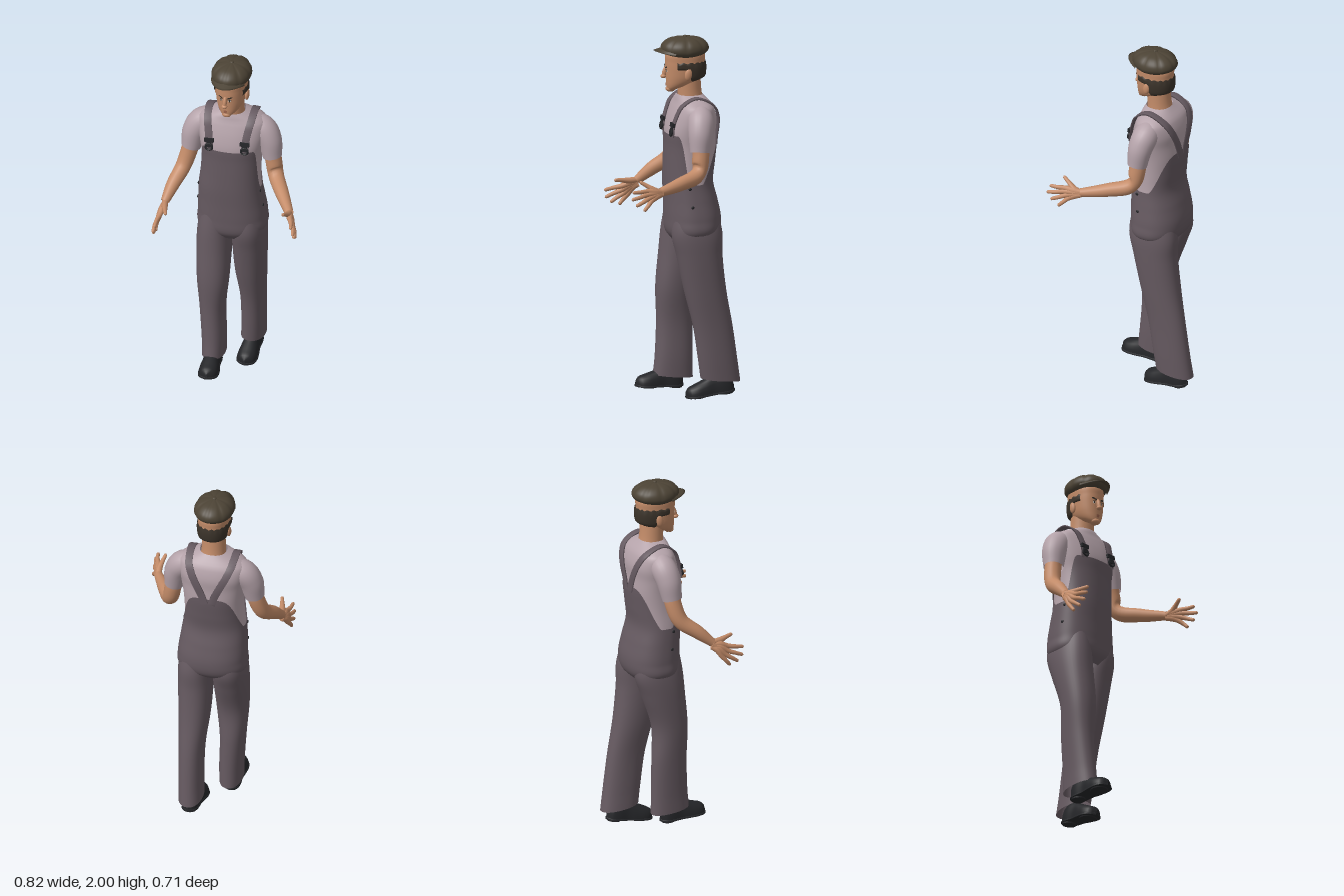
import * as THREE from 'three';

const mat = (name, color, side = THREE.DoubleSide) => {
  const m = new THREE.MeshStandardMaterial({ color, side });
  m.name = name;
  return m;
};
const V = (x, y, z) => new THREE.Vector3(x, y, z);
const TAU = Math.PI * 2;
const smooth = THREE.MathUtils.smoothstep;

// Smooth interpolation of rows [key, a, b, ...] sorted by key
function sample(rows, k) {
  const n = rows.length - 1;
  k = Math.min(Math.max(k, rows[0][0]), rows[n][0]);
  let i = 0;
  while (i < n - 1 && k > rows[i + 1][0]) i++;
  const p = rows[i], q = rows[i + 1], h = q[0] - p[0], t = (k - p[0]) / h;
  const o = rows[Math.max(i - 1, 0)], r = rows[Math.min(i + 2, n)];
  return p.slice(1).map((pv, j) => {
    const c = j + 1, m0 = (q[c] - o[c]) / (q[0] - o[0]), m1 = (r[c] - p[c]) / (r[0] - p[0]);
    const t2 = t * t, t3 = t2 * t;
    return (2 * t3 - 3 * t2 + 1) * pv + (t3 - 2 * t2 + t) * h * m0 + (3 * t2 - 2 * t3) * q[c] + (t3 - t2) * h * m1;
  });
}

// Grid surface from fn(u, v); u may wrap around
function sheet(fn, nu, nv, wrap = true) {
  const pos = [], idx = [], cols = wrap ? nu : nu + 1;
  for (let j = 0; j <= nv; j++)
    for (let i = 0; i < cols; i++) pos.push(...fn(i / nu, j / nv).toArray());
  for (let j = 0; j < nv; j++)
    for (let i = 0; i < nu; i++) {
      const a = j * cols + i, b = j * cols + (i + 1) % cols;
      idx.push(a, b, b + cols, a, b + cols, a + cols);
    }
  const g = new THREE.BufferGeometry();
  g.setAttribute('position', new THREE.Float32BufferAttribute(pos, 3));
  g.setIndex(idx);
  g.computeVertexNormals();
  return g;
}

// Tapered tube through rows [x, y, z, radius]
function limb(rows, nu = 16, nv = 20) {
  const curve = new THREE.CatmullRomCurve3(rows.map(r => V(r[0], r[1], r[2])));
  const f = curve.computeFrenetFrames(nv), radii = rows.map((r, i) => [i / (rows.length - 1), r[3]]);
  return sheet((u, v) => {
    const i = Math.round(v * nv), r = sample(radii, v);
    return curve.getPoint(v).addScaledVector(f.normals[i], r * Math.cos(u * TAU)).addScaledVector(f.binormals[i], r * Math.sin(u * TAU));
  }, nu, nv);
}

const spow = (s, n) => Math.sign(s) * Math.abs(s) ** (2 / n);
// Ring point; angle 0 is the front, increasing towards +x
const ring = ([cx, cz, rx, rz], y, a, off = 0, n = 2.3) =>
  V(cx + (rx + off) * spow(Math.sin(a), n), y, cz + (rz + off) * spow(Math.cos(a), n));

// Body rows: height, centre x, centre z, half width, half depth
const TORSO = [
  [0.87, -0.036, -0.1, 0.1, 0.09], [0.92, -0.036, -0.107, 0.178, 0.132], [1.0, -0.036, -0.11, 0.183, 0.142],
  [1.1, -0.04, -0.1, 0.175, 0.134], [1.2, -0.043, -0.087, 0.166, 0.124], [1.3, -0.04, -0.092, 0.162, 0.128],
  [1.4, -0.038, -0.098, 0.166, 0.132], [1.48, -0.037, -0.098, 0.178, 0.132], [1.55, -0.037, -0.107, 0.19, 0.126],
  [1.615, -0.037, -0.11, 0.187, 0.106], [1.64, -0.037, -0.107, 0.155, 0.092], [1.66, -0.037, -0.1, 0.112, 0.08],
  [1.678, -0.036, -0.096, 0.074, 0.068]];
const RIGHT_LEG = [
  [0.1, -0.12, -0.025, 0.063, 0.111], [0.2, -0.121, -0.03, 0.065, 0.105], [0.4, -0.13, -0.036, 0.07, 0.1],
  [0.6, -0.128, -0.033, 0.088, 0.1], [0.8, -0.13, -0.075, 0.096, 0.124], [0.92, -0.128, -0.1, 0.094, 0.138],
  [1.04, -0.12, -0.1, 0.08, 0.12]];
const LEFT_LEG = [
  [0.1, 0.05, -0.245, 0.066, 0.11], [0.2, 0.055, -0.23, 0.066, 0.109], [0.4, 0.058, -0.2, 0.069, 0.109],
  [0.6, 0.054, -0.158, 0.085, 0.116], [0.8, 0.055, -0.125, 0.094, 0.127], [0.92, 0.055, -0.112, 0.094, 0.14],
  [1.04, 0.048, -0.105, 0.08, 0.12]];
// Head rows: height, centre x, centre z, half width, half depth (head's own frame)
const HEAD = [
  [1.69, 0, 0.045, 0.012, 0.025], [1.7, 0, 0.025, 0.04, 0.07], [1.72, 0, 0.012, 0.06, 0.09], [1.76, 0, 0.003, 0.074, 0.102],
  [1.81, 0, 0, 0.081, 0.107], [1.86, 0, 0.001, 0.083, 0.108], [1.91, 0, 0, 0.082, 0.105], [1.96, 0, 0, 0.05, 0.06]];

const torsoAt = (y, a, off = 0) => ring(sample(TORSO, y), y, a, off);
const headAt = (y, a, off = 0) => {
  const p = ring(sample(HEAD, y), y, a, off, 2.2);
  p.y += 0.045 * (1 - smooth(y, 1.7, 1.8)) * (1 - Math.cos(a)) / 2;
  return p;
};
// Depth of the torso surface at x, y (side 1 front, -1 back)
const torsoZ = (x, y, side) => {
  const [cx, cz, rx, rz] = sample(TORSO, y);
  return cz + side * rz * Math.max(0, 1 - Math.abs((x - cx) / rx) ** 2.3) ** (1 / 2.3);
};

export function createModel() {
  const overalls = mat('overalls fabric', 0x665a61), shirtM = mat('shirt fabric', 0xb5a3aa), skin = mat('skin', 0xc48c69);
  const capM = mat('cap tweed', 0x4c4335), hairM = mat('hair', 0x3b332a), black = mat('black leather', 0x252629);
  const white = mat('eye white', 0xc9bdb2), lipM = mat('lips', 0xa0664f);
  const model = new THREE.Group();
  const add = (name, geo, m, parent = model) => {
    const mesh = new THREE.Mesh(geo, m);
    mesh.name = name;
    parent.add(mesh);
    return mesh;
  };

  // Shirt and sleeves
  add('shirt', sheet((u, v) => torsoAt(1.12 + v * 0.558, u * TAU), 64, 40), shirtM);
  add('rightSleeve', limb([[-0.13, 1.585, -0.115, 0.055], [-0.2, 1.565, -0.112, 0.07], [-0.243, 1.5, -0.1, 0.068], [-0.264, 1.395, -0.088, 0.054]], 24), shirtM);
  add('leftSleeve', limb([[0.055, 1.585, -0.115, 0.055], [0.125, 1.565, -0.112, 0.07], [0.168, 1.5, -0.1, 0.067], [0.188, 1.395, -0.09, 0.053]], 24), shirtM);

  // Overalls: bib high in front, V at the back, low under the arms
  const topEdge = a => 1.2 + (Math.cos(a) > 0 ? 0.27 * smooth(Math.cos(a), 0.15, 0.7) : 0.23 * smooth(-Math.cos(a), 0.2, 1));
  add('overallsBody', sheet((u, v) => {
    const a = u * TAU;
    return torsoAt(0.87 + v * (topEdge(a) - 0.87), a, 0.007);
  }, 96, 40), overalls);
  for (const [name, rows] of [['rightTrouserLeg', RIGHT_LEG], ['leftTrouserLeg', LEFT_LEG]])
    add(name, sheet((u, v) => {
      const y = 0.1 + v * 0.94, p = ring(sample(rows, y), y, u * TAU, 0, 2.2);
      p.y += 0.012 * Math.cos(u * TAU) * (1 - v) ** 8; // hem lifts over the instep
      return p;
    }, 40, 40), overalls);

  // Straps, buckles and side buttons
  for (const s of [-1, 1]) {
    const side = s < 0 ? 'right' : 'left', cx = -0.039;
    const on = (dx, y, f) => V(cx + s * dx, y, torsoZ(cx + s * dx, y, f) + f * 0.009);
    const path = new THREE.CatmullRomCurve3([
      on(0.098, 1.46, 1), on(0.1, 1.52, 1), on(0.108, 1.58, 1), on(0.118, 1.63, 1), V(cx + s * 0.125, 1.672, -0.1),
      on(0.116, 1.63, -1), on(0.095, 1.58, -1), on(0.066, 1.52, -1), on(0.035, 1.45, -1), on(0.02, 1.4, -1)]);
    add(side + 'Strap', sheet((u, v) => {
      const p = path.getPoint(v), t = path.getTangent(v);
      const out = V(0, p.y - 1.5, (p.z + 0.1) * 2.5);
      out.addScaledVector(t, -out.dot(t)).normalize();
      const w = V().crossVectors(out, t).normalize(), c = Math.round(u * 4) % 4;
      return p.addScaledVector(w, c === 0 || c === 3 ? 0.02 : -0.02).addScaledVector(out, c < 2 ? 0.005 : -0.004);
    }, 4, 48), overalls);

    const buckle = new THREE.Group();
    buckle.name = side + 'Buckle';
    buckle.position.copy(on(0.099, 1.505, 1));
    buckle.rotation.x = -0.15;
    model.add(buckle);
    add('buckleTop', new THREE.BoxGeometry(0.052, 0.022, 0.014), black, buckle).position.set(0, 0.022, 0.006);
    add('buckleStem', new THREE.BoxGeometry(0.026, 0.04, 0.012), black, buckle).position.set(0, 0, 0.006);
    add('buckleRing', new THREE.TorusGeometry(0.019, 0.006, 6, 14), black, buckle).position.set(0, -0.018, 0.008);
    for (const y of [1.18, 1.08]) {
      const b = add(side + 'SideButton', new THREE.SphereGeometry(0.009, 10, 6), black);
      b.position.copy(torsoAt(y, s * 1.35, 0.008));
      b.scale.x = 0.5;
    }
  }

  // Arms and hands; each finger runs from the wrist so the roots form the palm
  const arm = (name, rows, fingers, thumb) => {
    const g = new THREE.Group();
    g.name = name;
    model.add(g);
    add('arm', limb(rows, 18, 24), skin, g);
    const w = rows[rows.length - 1];
    for (const [k, t] of fingers) {
      const mix = (f, lift = 0) => k.map((c, i) => c + (t[i] - c) * f + (i === 0 ? lift : 0));
      add('finger', limb([
        [w[0], w[1] + (k[1] - w[1]) * 0.3, w[2] - 0.005, 0.015], [...k.map((c, i) => (c + w[i]) / 2), 0.019], [...k, 0.014],
        [...mix(0.5, Math.sign(k[0]) * 0.004), 0.011], [...mix(0.92), 0.009], [...t, 0.001]], 10, 20), skin, g);
    }
    add('thumb', limb([[...w.slice(0, 3), 0.017], ...thumb], 10, 16), skin, g);
  };
  arm('rightArm',
    [[-0.25, 1.47, -0.092, 0.045], [-0.272, 1.37, -0.086, 0.046], [-0.3, 1.275, -0.055, 0.043], [-0.338, 1.205, 0.03, 0.037], [-0.365, 1.14, 0.105, 0.024]],
    [[[-0.374, 1.108, 0.19], [-0.384, 1.088, 0.288]], [[-0.384, 1.085, 0.185], [-0.394, 1.045, 0.28]],
      [[-0.389, 1.068, 0.17], [-0.398, 1.015, 0.248]], [[-0.389, 1.06, 0.15], [-0.396, 1.0, 0.2]]],
    [[-0.355, 1.14, 0.155, 0.017], [-0.343, 1.147, 0.2, 0.012], [-0.332, 1.152, 0.238, 0.009], [-0.33, 1.153, 0.245, 0.001]]);
  arm('leftArm',
    [[0.18, 1.47, -0.092, 0.045], [0.193, 1.37, -0.094, 0.046], [0.214, 1.28, -0.07, 0.043], [0.275, 1.245, 0.045, 0.037], [0.342, 1.222, 0.175, 0.024]],
    [[[0.366, 1.238, 0.26], [0.388, 1.24, 0.345]], [[0.374, 1.22, 0.262], [0.402, 1.203, 0.355]],
      [[0.376, 1.2, 0.252], [0.404, 1.167, 0.33]], [[0.374, 1.185, 0.235], [0.4, 1.136, 0.285]]],
    [[0.348, 1.24, 0.215, 0.017], [0.34, 1.263, 0.25, 0.012], [0.331, 1.283, 0.284, 0.009], [0.33, 1.287, 0.29, 0.001]]);

  // Neck and head
  add('neck', limb([[-0.036, 1.6, -0.105, 0.075], [-0.036, 1.68, -0.096, 0.066], [-0.035, 1.78, -0.09, 0.064]], 28, 12), skin);
  const head = new THREE.Group();
  head.name = 'head';
  head.position.set(-0.033, 0, -0.07);
  head.rotation.y = -0.12;
  model.add(head);
  add('face', sheet((u, v) => headAt(1.69 + v * 0.27, u * TAU), 40, 36), skin, head);
  const blob = (name, m, p, s, rx = 0) => {
    const b = add(name, new THREE.SphereGeometry(1, 16, 12), m, head);
    b.position.set(...p);
    b.scale.set(...s);
    b.rotation.x = rx;
  };
  blob('noseBridge', skin, [0, 1.802, 0.112], [0.011, 0.036, 0.014], -0.25);
  blob('noseTip', skin, [0, 1.779, 0.119], [0.016, 0.012, 0.016]);
  blob('chin', skin, [0, 1.709, 0.085], [0.027, 0.017, 0.022]);

  // Thin painted patch following the head: angle, height, half sizes, slant
  const decal = (name, m, a, y, ha, hy, off, slant = 0) => add(name, sheet((u, v) => {
    const k = u * 2 - 1;
    return headAt(y + (v * 2 - 1) * hy * Math.sqrt(1 - k * k) + slant * k, a + k * ha, off);
  }, 12, 4, false), m, head);
  decal('upperLip', lipM, 0, 1.74, 0.13, 0.005, 0.003);
  decal('lowerLip', lipM, 0, 1.732, 0.11, 0.005, 0.004);
  for (const s of [-1, 1]) {
    decal('eyebrow', hairM, s * 0.27, 1.832, 0.17, 0.005, 0.005, s * 0.005);
    decal('eye', white, s * 0.27, 1.812, 0.1, 0.007, 0.002);
    decal('iris', hairM, s * 0.26, 1.812, 0.04, 0.007, 0.004);
    decal('eyelid', hairM, s * 0.27, 1.819, 0.12, 0.002, 0.004);
    blob('ear', skin, [s * 0.086, 1.8, -0.005], [0.012, 0.034, 0.02], -0.15);
  }

  // Hair around the back, with short sideburns
  add('hair', sheet((u, v) => {
    const a = 1.12 + u * (TAU - 2.24), back = smooth(-Math.cos(a), -0.1, 0.35);
    const bottom = 1.825 - 0.09 * back, top = 1.862 + 0.004 * Math.sin(a * 19);
    return headAt(bottom + v * (top - bottom), a, 0.008 * Math.min(1, 0.4 + 4 * v * (1 - v)));
  }, 64, 8, false), hairM, head);

  // Flat cap: puffed crown with seams, peak and button
  const CROWN = [[0, 0.76, 1.9], [0.15, 0.92, 1.912], [0.3, 1, 1.932], [0.5, 0.93, 1.96], [0.7, 0.68, 1.984], [0.85, 0.35, 1.994], [1, 0, 1.997]];
  add('capCrown', sheet((u, v) => {
    const a = u * TAU, [r, y] = sample(CROWN, v);
    const seam = Math.abs(Math.cos(a * 4)) ** 10 * Math.sin(v * Math.PI);
    const k = r * (1 - 0.03 * seam);
    return V(0.108 * k * Math.sin(a), y - 0.004 * seam - 0.008 * (1 - v) * Math.sin(a) ** 2, 0.002 + 0.132 * k * Math.cos(a));
  }, 64, 24), capM, head);
  add('capPeak', sheet((u, v) => {
    const a = (u - 0.5) * 2.3, top = v < 0.5, k = top ? v * 2 : 2 - v * 2;
    const reach = 0.1 + k * 0.072 * Math.cos(a * 1.25), drop = 0.022 * k + 0.018 * Math.sin(a) ** 2;
    return V((0.098 + 0.008 * k) * Math.sin(a), 1.945 - drop - (top ? 0.007 : 0), reach * Math.cos(a * 0.8));
  }, 28, 12, false), capM, head);
  blob('capButton', capM, [0, 1.997, 0], [0.012, 0.006, 0.012]);

  // Shoes: rows along the foot are position, half width, height
  const UPPER = [[0, 0.004, 0.03], [0.06, 0.03, 0.08], [0.2, 0.042, 0.105], [0.42, 0.042, 0.1], [0.6, 0.05, 0.08], [0.8, 0.053, 0.06], [0.94, 0.038, 0.045], [1, 0.004, 0.025]];
  const shoe = (name, p, pitch, yaw) => {
    const g = new THREE.Group();
    g.name = name;
    g.position.set(...p);
    g.rotation.set(pitch, yaw, 0);
    model.add(g);
    const body = (grow, base, height) => sheet((u, v) => {
      const [w, h] = sample(UPPER, v), s = Math.sin(u * TAU);
      return V((w + grow) * spow(Math.cos(u * TAU), height ? 5 : 2.4), base + (s > 0 ? (height || h) * spow(s, height ? 5 : 2.2) : 0), (v - 0.5) * (0.27 + grow));
    }, 24, 28);
    add('upper', body(0, 0.014, 0), black, g);
    add('sole', body(0.004, 0.008, 0.012), black, g);
    add('heel', new THREE.CylinderGeometry(0.04, 0.038, 0.02, 18), black, g).position.set(0, 0.01, -0.09);
    add('toePad', new THREE.CylinderGeometry(0.05, 0.046, 0.012, 20), black, g).position.set(0, 0.008, 0.065);
  };
  shoe('rightShoe', [-0.12, 0.038, 0.052], -0.04, 0.02);
  shoe('leftShoe', [0.046, 0.012, -0.19], 0.12, -0.06);
  return model;
}
